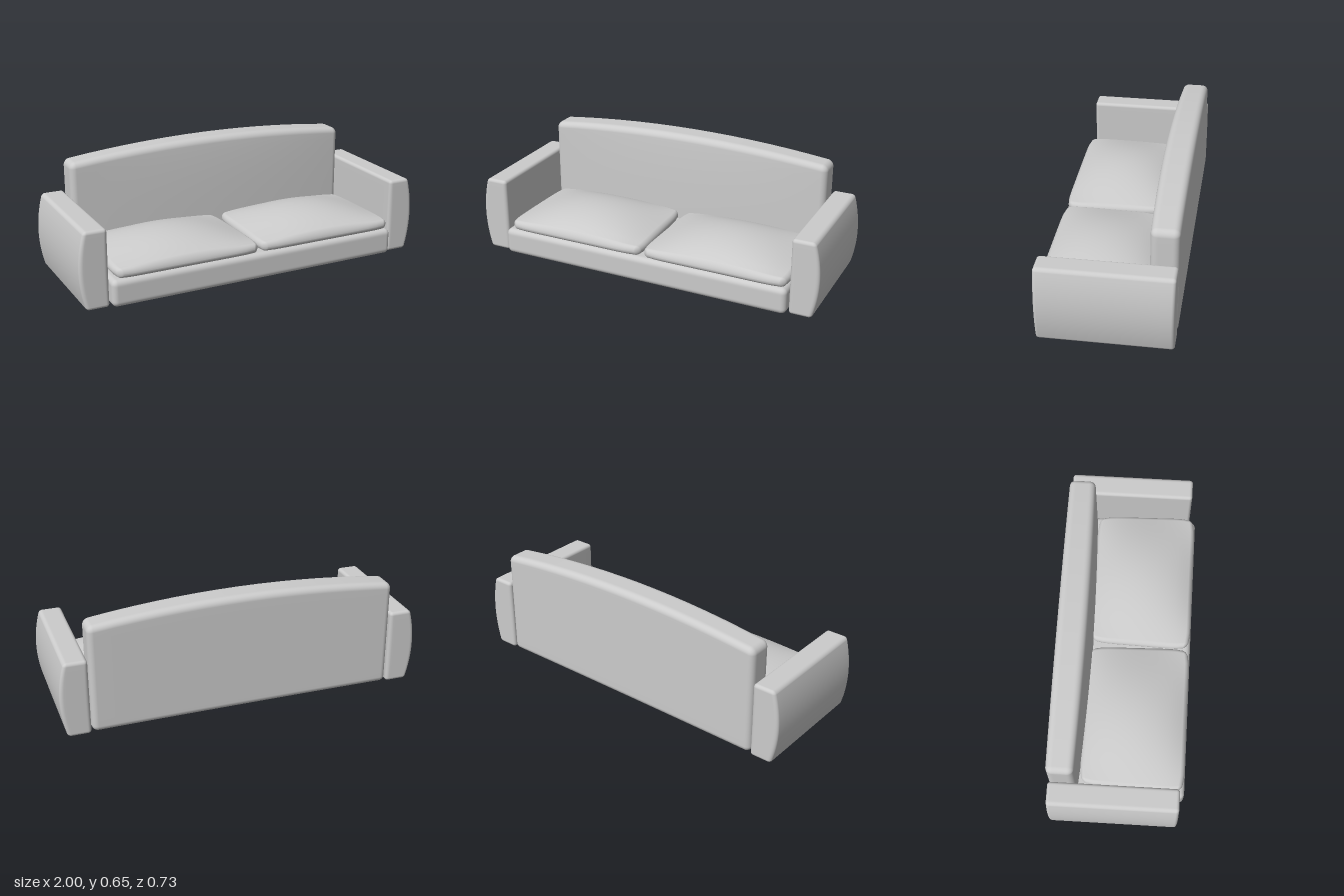
import * as THREE from 'three';
import { mergeVertices } from 'three/addons/utils/BufferGeometryUtils.js';

const material = new THREE.MeshStandardMaterial({ color: 0xcccccc });

// Rounded, finely divided box between two corners; bend(p) reshapes each vertex.
function softBox(name, min, max, radius, bend) {
  const n = 24, rim = 5, inner = 1 - (2 * rim) / n;
  const lo = new THREE.Vector3(...min), hi = new THREE.Vector3(...max);
  const half = hi.clone().sub(lo).multiplyScalar(0.5);
  const centre = lo.clone().add(hi).multiplyScalar(0.5);
  const geometry = new THREE.BoxGeometry(2, 2, 2, n, n, n);
  const pos = geometry.attributes.position;
  const p = new THREE.Vector3(), core = new THREE.Vector3();
  for (let i = 0; i < pos.count; i++) {
    p.fromBufferAttribute(pos, i);
    for (const axis of ['x', 'y', 'z']) {
      const c = p[axis], a = Math.abs(c), flat = half[axis] - radius;
      // the outer rows of the grid fall inside the rounded rim
      const d = a > inner ? flat + (radius * (a - inner)) / (1 - inner) : (flat * a) / inner;
      p[axis] = Math.sign(c) * d;
      core[axis] = Math.sign(c) * Math.min(d, flat);
    }
    p.sub(core).normalize().multiplyScalar(radius).add(core).add(centre);
    if (bend) bend(p);
    pos.setXYZ(i, p.x, p.y, p.z);
  }
  geometry.deleteAttribute('uv');
  geometry.deleteAttribute('normal');
  const smooth = mergeVertices(geometry, 1e-5);
  smooth.computeVertexNormals();
  const mesh = new THREE.Mesh(smooth, material);
  mesh.name = name;
  return mesh;
}

export function createModel() {
  const sofa = new THREE.Group();
  sofa.name = 'sofa';

  // Seat base
  sofa.add(softBox('seatBase', [-0.84, 0.005, -0.355], [0.84, 0.152, 0.365], 0.03));

  // Backrest: arched top, front face swelling towards the middle
  sofa.add(softBox('backrest', [-0.84, 0.005, -0.367], [0.84, 0.605, -0.222], 0.033, (p) => {
    const arch = 1 - (p.x / 0.84) ** 2;
    const up = p.y / 0.605, front = (p.z + 0.367) / 0.145;
    p.y += 0.053 * arch * up;
    p.z += front * 0.03 * arch * (1 - 0.5 * up ** 4);
  }));

  // Arms: flat inside, outer face bowed outwards at mid height
  for (const side of [1, -1]) {
    const [a, b] = [0.845 * side, 0.968 * side];
    sofa.add(softBox(side > 0 ? 'leftArm' : 'rightArm',
      [Math.min(a, b), 0.003, -0.365], [Math.max(a, b), 0.426, 0.331], 0.018, (p) => {
        const out = (Math.abs(p.x) - 0.845) / 0.123;
        p.x += side * out * 0.032 * (1 - ((p.y - 0.2145) / 0.2115) ** 2);
      }));
  }

  // Seat cushions: domed top, rounded corners, slightly narrower at the back
  for (const [name, x] of [['rightCushion', -0.402], ['leftCushion', 0.425]]) {
    const halfW = 0.412, halfD = 0.288, zMid = 0.074;
    sofa.add(softBox(name, [x - halfW, 0.152, zMid - halfD], [x + halfW, 0.203, zMid + halfD], 0.025, (p) => {
      const u = (p.x - x) / halfW, v = (p.z - zMid) / halfD;
      const top = (p.y - 0.152) / 0.051;
      p.y += top * 0.077 * Math.max(0, 1 - u * u) ** 1.15 * Math.max(0, 1 - v * v) ** 0.8;
      p.x = x + halfW * u * (1 - 0.045 * v ** 8) * (0.985 + 0.02 * v);
      p.z = zMid + halfD * v * (1 - 0.06 * u ** 10);
    }));
  }
  return sofa;
}
